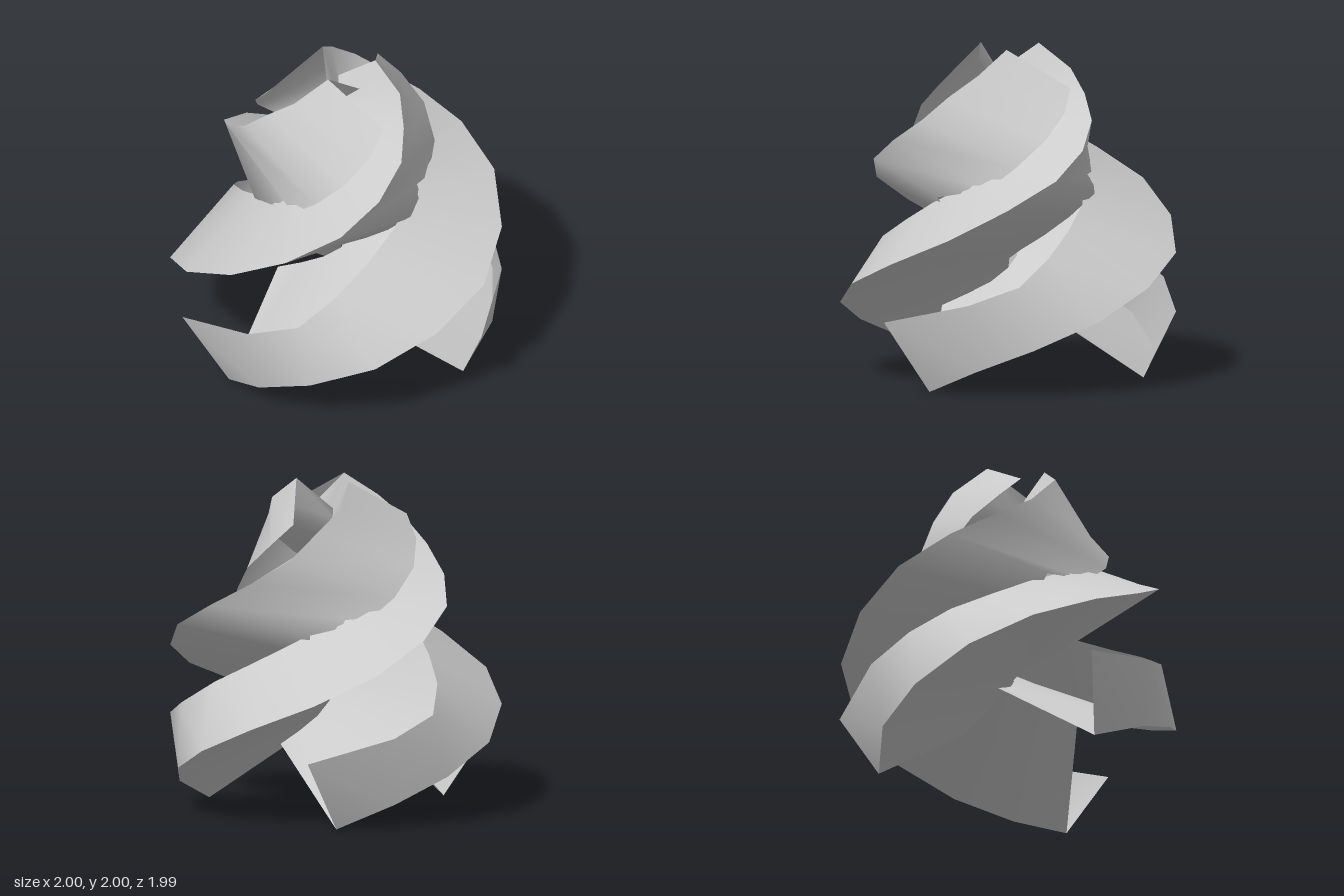
import * as THREE from 'three';

// Each rail is one edge of a V-section ribbon winding up the axis.
// Stations are [angle in degrees, radius, height].
const rails = [
  // upper edge, rolling inward toward the axis
  [[0, 1.04, 0.43], [-31, 0.96, 0.56], [-50, 0.91, 0.67], [-64, 0.77, 0.82], [-81, 0.62, 0.95],
    [-104, 0.52, 1.08], [-130, 0.45, 1.2], [-147, 0.4, 1.3], [-165, 0.34, 1.41], [-184, 0.27, 1.52],
    [-208, 0.15, 1.61], [-231, 0.064, 1.69], [-394, 0.036, 1.76], [-378, 0.11, 1.83]],
  // outer crest, from the foot to the tip
  [[-10, 0.81, 0], [-33, 0.9, 0.15], [-55, 0.95, 0.29], [-78, 1.01, 0.45], [-100, 1.03, 0.62],
    [-122, 1.03, 0.78], [-144, 0.98, 0.95], [-165, 0.92, 1.13], [-186, 0.82, 1.29], [-205, 0.7, 1.44],
    [-224, 0.585, 1.59], [-237, 0.48, 1.73], [-256, 0.37, 1.86], [-282, 0.2, 2]],
  // inner edge, crossing the axis low down and then rolling outward
  [[40, 0.4, 0.43], [37, 0.25, 0.5], [34, 0.11, 0.57], [0, 0.01, 0.65], [-170, 0.06, 0.72],
    [-203, 0.13, 0.78], [-220, 0.26, 0.87], [-229, 0.41, 0.99], [-235, 0.55, 1.13], [-272, 0.52, 1.2],
    [-290, 0.57, 1.34], [-308, 0.575, 1.5], [-325, 0.53, 1.65], [-339, 0.46, 1.78]],
];

const toPoint = ([deg, r, y]) => {
  const a = THREE.MathUtils.degToRad(deg);
  return [r * Math.cos(a), y, r * Math.sin(a)];
};

// Smooth band between two rails; separate bands keep the fold sharp
function bandGeometry(p, q) {
  const n = p.length;
  const index = [];
  for (let i = 0; i < n - 1; i++) {
    index.push(i, n + i, n + i + 1, i, n + i + 1, i + 1);
  }
  const geometry = new THREE.BufferGeometry();
  geometry.setAttribute('position', new THREE.Float32BufferAttribute([...p, ...q].flat(), 3));
  geometry.setIndex(index);
  geometry.computeVertexNormals();
  return geometry;
}

export function createModel() {
  const model = new THREE.Group();
  model.name = 'twistedStrands';
  const material = new THREE.MeshStandardMaterial({ color: 0xcccccc, side: THREE.DoubleSide });
  const [upper, crest, inner] = rails.map((rail) => rail.map(toPoint));

  const parts = {
    outerFace: bandGeometry(upper, crest),
    underFace: bandGeometry(crest, inner),
  };

  // Three equal open strands around the axis
  for (let k = 0; k < 3; k++) {
    const strand = new THREE.Group();
    strand.name = `strand${k + 1}`;
    for (const [name, geometry] of Object.entries(parts)) {
      const mesh = new THREE.Mesh(geometry, material);
      mesh.name = name;
      strand.add(mesh);
    }
    strand.rotation.y = (k * Math.PI * 2) / 3;
    strand.position.set(-0.04, 0, 0.015);
    model.add(strand);
  }
  return model;
}
